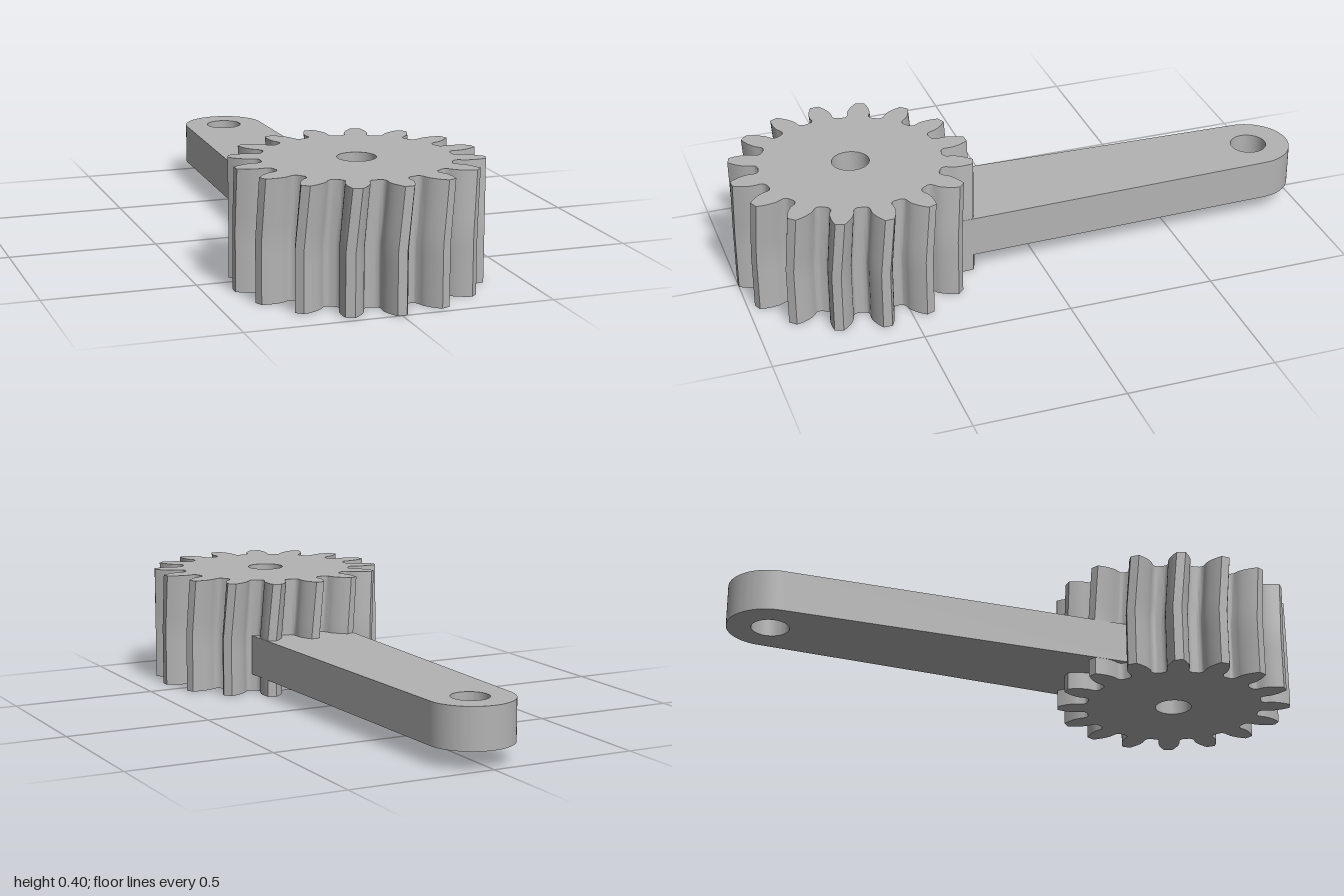
import * as THREE from 'three';
import { toCreasedNormals } from 'three/addons/utils/BufferGeometryUtils.js';

const TEETH = 16, TIP_R = 0.405, ROOT_R = 0.304, BASE_R = 0.3383;
const BASE_HALF = 0.1131; // half angle of a tooth at the base circle
const FILLET = 0.018;
const HEIGHT = 0.4, TWIST = THREE.MathUtils.degToRad(2.8);
const GEAR_Z = 0.595, HOLE_R = 0.0625;

function roundHole(x, y) {
  return new THREE.Path().absarc(x, y, HOLE_R, 0, Math.PI * 2, true);
}

// Half a tooth from root to tip: [radius, half angle]
function flankPoints() {
  const pts = [];
  for (let i = 0; i <= 5; i++) { // rounded root
    const t = (i / 5) * Math.PI / 2;
    pts.push([ROOT_R + FILLET * (1 - Math.cos(t)), BASE_HALF + FILLET * (1 - Math.sin(t)) / 0.315]);
  }
  for (let i = 0; i <= 6; i++) { // involute flank
    const r = BASE_R + (TIP_R - BASE_R) * i / 6;
    const a = Math.acos(BASE_R / r);
    pts.push([r, BASE_HALF - (Math.tan(a) - a)]);
  }
  return pts;
}

function gearGeometry() {
  const flank = flankPoints();
  const outline = [];
  const add = (r, a) => outline.push(new THREE.Vector2(r * Math.cos(a), r * Math.sin(a)));
  for (let i = 0; i < TEETH; i++) {
    const c = (i / TEETH) * Math.PI * 2;
    flank.forEach(([r, h]) => add(r, c - h));
    [...flank].reverse().forEach(([r, h]) => add(r, c + h));
  }
  const shape = new THREE.Shape(outline);
  shape.holes.push(roundHole(0, 0));
  const geo = new THREE.ExtrudeGeometry(shape, { depth: HEIGHT, steps: 8, bevelEnabled: false, curveSegments: 20 });
  geo.rotateX(-Math.PI / 2);

  // Straight teeth below mid height, helical teeth above
  const p = geo.attributes.position;
  const v = new THREE.Vector3(), up = new THREE.Vector3(0, 1, 0);
  for (let i = 0; i < p.count; i++) {
    v.fromBufferAttribute(p, i);
    v.applyAxisAngle(up, TWIST * Math.max(0, v.y / HEIGHT * 2 - 1));
    p.setXYZ(i, v.x, v.y, v.z);
  }
  return toCreasedNormals(geo, 0.6);
}

function armGeometry() {
  // Tapered bar with a rounded far end; shape y is -z
  const endY = 0.856, endR = 0.144, rootY = -0.42, rootHalf = 0.176;
  const shape = new THREE.Shape();
  shape.moveTo(-rootHalf, rootY);
  shape.lineTo(rootHalf, rootY);
  shape.lineTo(endR, endY);
  shape.absarc(0, endY, endR, 0, Math.PI, false);
  shape.closePath();
  shape.holes.push(roundHole(0, endY));
  const geo = new THREE.ExtrudeGeometry(shape, { depth: 0.14, bevelEnabled: false, curveSegments: 24 });
  geo.rotateX(-Math.PI / 2);
  return toCreasedNormals(geo, 0.6);
}

export function createModel() {
  const group = new THREE.Group();
  group.name = 'gearLever';
  const metal = new THREE.MeshStandardMaterial({ color: 0xb3b3b3 });
  metal.name = 'plain grey';

  const gear = new THREE.Mesh(gearGeometry(), metal);
  gear.name = 'gear';
  gear.position.z = GEAR_Z;

  const arm = new THREE.Mesh(armGeometry(), metal);
  arm.name = 'leverArm';
  arm.position.y = 0.06;

  group.add(gear, arm);
  return group;
}
